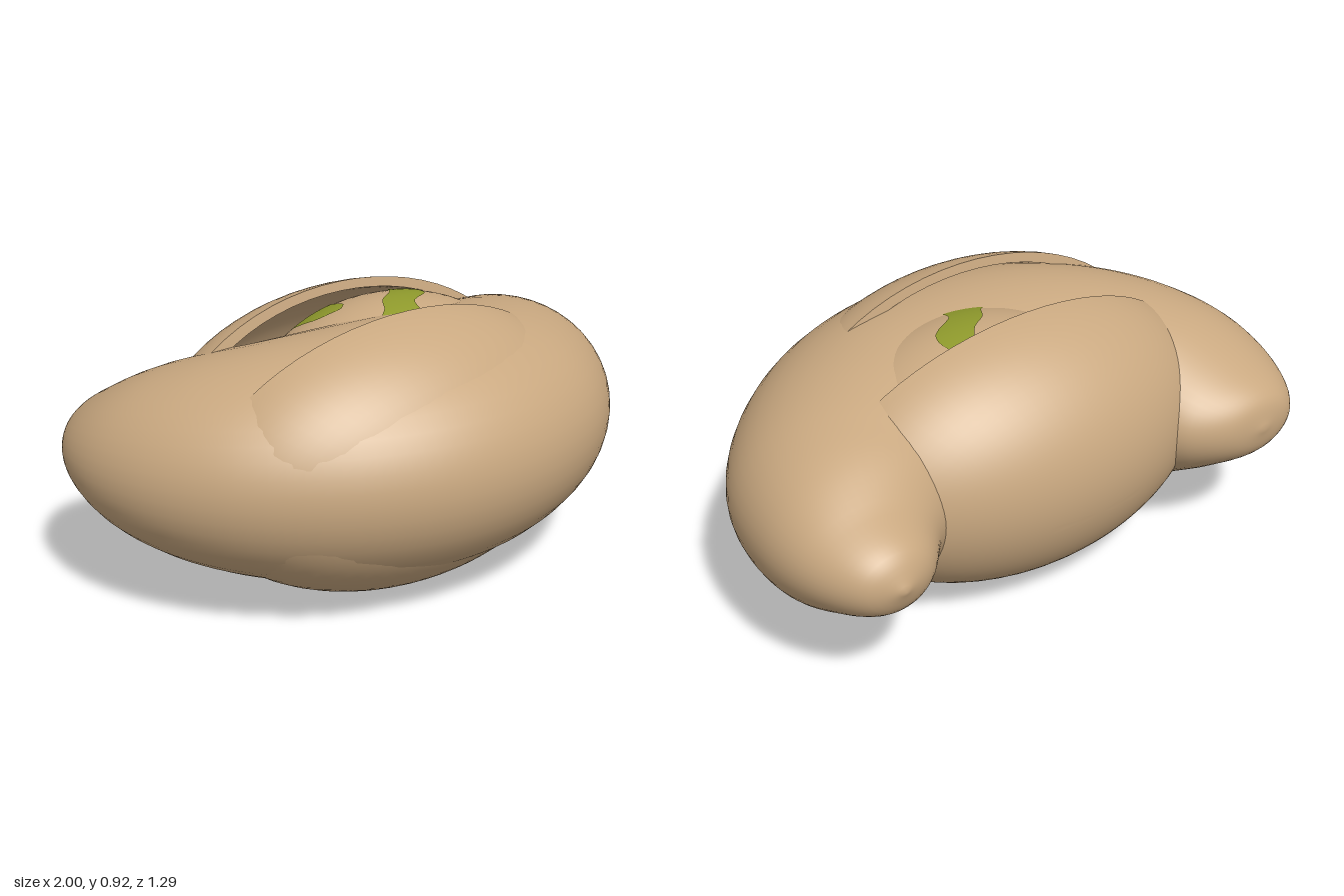
import * as THREE from 'three';
import { mergeVertices, toCreasedNormals } from 'three/addons/utils/BufferGeometryUtils.js';

const tan = new THREE.MeshStandardMaterial({ color: 0xc9a880 });
tan.name = 'nutTan';
const green = new THREE.MeshStandardMaterial({ color: 0x8f9a2c });
green.name = 'kernelGreen';

// Smooth surface from a function of two parameters in 0..1
function surface(nu, nv, point) {
  const pos = [], index = [];
  for (let i = 0; i <= nu; i++)
    for (let j = 0; j <= nv; j++) pos.push(...point(i / nu, j / nv));
  for (let i = 0; i < nu; i++)
    for (let j = 0; j < nv; j++) {
      const a = i * (nv + 1) + j, b = a + nv + 1;
      index.push(a, b, b + 1, a, b + 1, a + 1);
    }
  let g = new THREE.BufferGeometry();
  g.setAttribute('position', new THREE.Float32BufferAttribute(pos, 3));
  g.setIndex(index);
  g = mergeVertices(g, 1e-5);
  g.computeVertexNormals();
  return g;
}

const curve = (pts) => new THREE.CatmullRomCurve3(pts.map((p) => new THREE.Vector3(...p)));

// Curved nut: elliptical sections between an outer and an inner edge.
// Outer points are [x, half-height, z], inner points [x, 0, z].
function crescentGeometry() {
  const outer = curve([
    [-0.68, 0, -0.648], [-0.84, 0.1, -0.61], [-0.96, 0.18, -0.44], [-1, 0.26, -0.22],
    [-0.95, 0.315, 0.03], [-0.8, 0.355, 0.28], [-0.55, 0.385, 0.49], [-0.27, 0.4, 0.61],
    [0, 0.403, 0.643], [0.27, 0.395, 0.605], [0.55, 0.375, 0.485], [0.8, 0.345, 0.27],
    [0.95, 0.305, 0.03], [1, 0.25, -0.24], [0.97, 0.17, -0.45], [0.89, 0.1, -0.59],
    [0.77, 0, -0.648],
  ]);
  const inner = curve([
    [-0.68, 0, -0.648], [-0.54, 0, -0.62], [-0.42, 0, -0.55], [-0.34, 0, -0.45],
    [-0.27, 0, -0.4], [-0.21, 0, -0.37], [-0.14, 0, -0.36], [-0.07, 0, -0.36],
    [0, 0, -0.36], [0.08, 0, -0.36], [0.16, 0, -0.36], [0.24, 0, -0.37],
    [0.33, 0, -0.39], [0.42, 0, -0.42], [0.52, 0, -0.48], [0.64, 0, -0.6],
    [0.77, 0, -0.648],
  ]);
  return surface(96, 48, (u, v) => {
    const o = outer.getPoint(u), n = inner.getPoint(u);
    const a = v * Math.PI * 2, k = (1 + Math.cos(a)) / 2;
    return [n.x + (o.x - n.x) * k, 0.462 + o.y * Math.sin(a), n.z + (o.z - n.z) * k];
  });
}

// Thick half shell, opened about its lower edge; side is +1 front, -1 back
function halfShell(side, x) {
  const profile = [], steps = 24, inside = 0.93;
  for (let i = 0; i <= steps; i++) {
    const a = (i / steps) * Math.PI / 2;
    profile.push(new THREE.Vector2(inside * Math.sin(a), inside * Math.cos(a)));
  }
  for (let i = 0; i <= steps; i++) {
    const a = (i / steps) * Math.PI / 2;
    profile.push(new THREE.Vector2(Math.cos(a), Math.sin(a)));
  }
  let g = new THREE.LatheGeometry(profile, 64);
  g.scale(0.75, 0.48, 0.465);
  g = toCreasedNormals(g, 0.7);
  g.rotateX(side * THREE.MathUtils.degToRad(102));
  g.translate(x, 0.467, side * 0.11);
  return g;
}

// Kernel ellipsoid and the height of its upper surface
const kernel = { c: [0.11, 0.46, -0.09], r: [0.55, 0.415, 0.42] };
function kernelTop(x, z) {
  const dx = (x - kernel.c[0]) / kernel.r[0], dz = (z - kernel.c[2]) / kernel.r[2];
  return kernel.c[1] + kernel.r[1] * Math.sqrt(Math.max(0, 1 - dx * dx - dz * dz));
}

// Green patch lying on the kernel; rows are [left x, right x, z] from back to front
function patchGeometry(rows) {
  const left = curve(rows.map(([l, , z]) => [l, 0, z]));
  const right = curve(rows.map(([, r, z]) => [r, 0, z]));
  return surface(20, 10, (u, v) => {
    const p = left.getPoint(u).lerp(right.getPoint(u), v);
    return [p.x, kernelTop(p.x, p.z) + 0.003, p.z];
  });
}

export function createModel() {
  const model = new THREE.Group();
  model.name = 'nuts';
  const add = (name, geometry, material) => {
    const mesh = new THREE.Mesh(geometry, material);
    mesh.name = name;
    model.add(mesh);
    return mesh;
  };

  add('curvedNut', crescentGeometry(), tan);
  add('frontShell', halfShell(1, -0.07), tan);
  add('backShell', halfShell(-1, -0.02), tan);

  const core = add('kernel', new THREE.SphereGeometry(1, 64, 40), tan);
  core.scale.set(...kernel.r);
  core.position.set(...kernel.c);

  const patches = [
    [[0.17, 0.23, -0.27], [0.165, 0.245, -0.19], [0.12, 0.255, -0.12], [0.05, 0.235, -0.07],
      [0.01, 0.14, -0.01], [-0.02, 0.125, 0.02], [0.06, 0.12, 0.06]],
    [[-0.18, -0.02, -0.27], [-0.17, -0.035, -0.21], [-0.15, -0.04, -0.165], [-0.09, -0.07, -0.135]],
    [[0.36, 0.385, 0.015], [0.335, 0.38, 0.035], [0.34, 0.36, 0.055]],
  ];
  patches.forEach((rows, i) => add('greenPatch' + (i + 1), patchGeometry(rows), green));
  return model;
}
